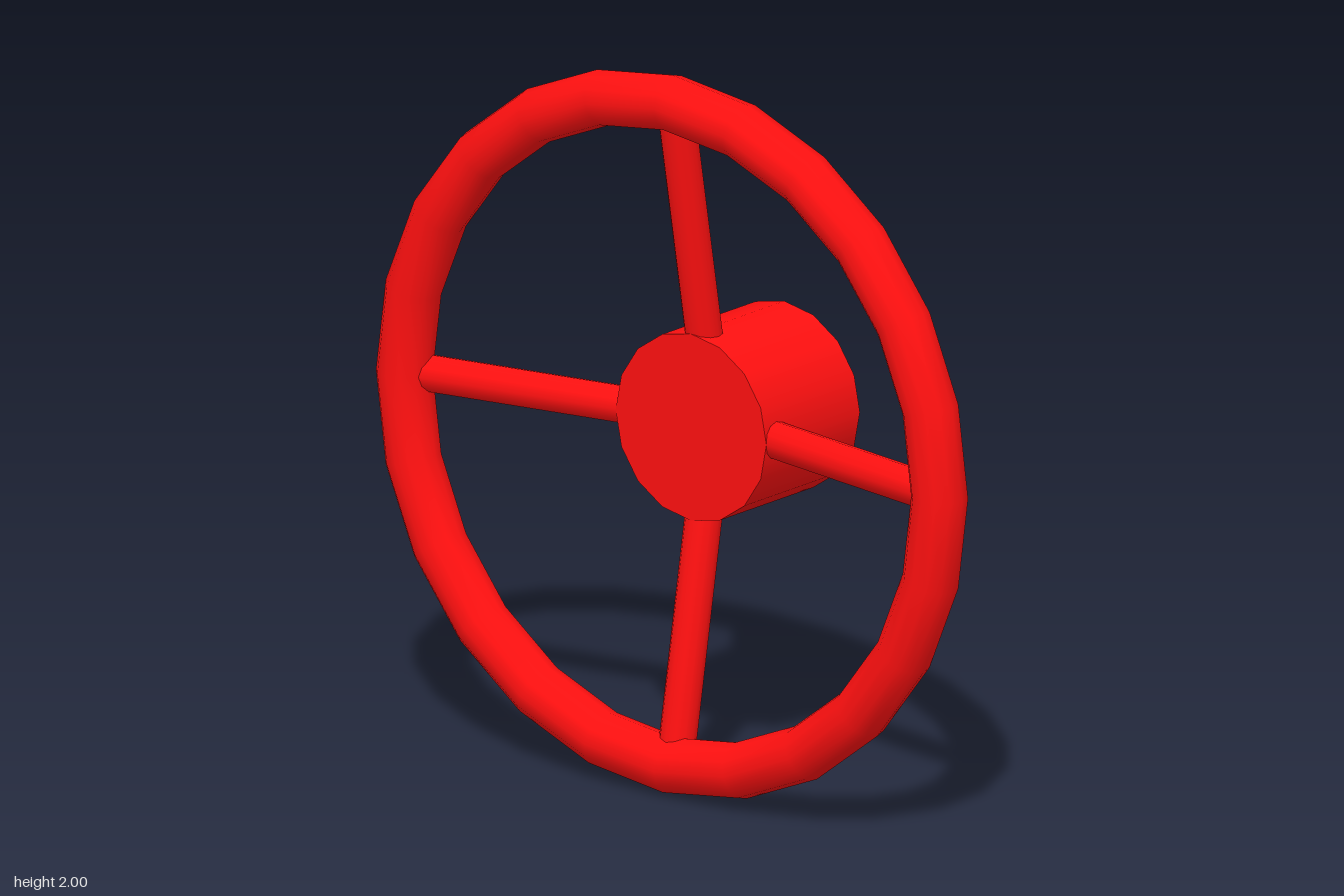
import * as THREE from 'three';

export function createModel() {
  const model = new THREE.Group();
  model.name = 'handwheel';
  const red = new THREE.MeshStandardMaterial({ color: 0xff1010 });
  const centreY = 1;

  const add = (name, geometry) => {
    const mesh = new THREE.Mesh(geometry, red);
    mesh.name = name;
    mesh.position.y = centreY;
    model.add(mesh);
    return mesh;
  };

  // Rim
  add('rim', new THREE.TorusGeometry(0.923, 0.077, 12, 24)).position.z = 0.198;

  // Hub, set back behind the rim
  const hubFront = 0.118, hubBack = -0.275;
  const hub = new THREE.CylinderGeometry(0.26, 0.26, hubFront - hubBack, 16);
  hub.rotateX(Math.PI / 2);
  add('hub', hub).position.z = (hubFront + hubBack) / 2;

  // Four spokes sloping forward from the hub into the rim
  const inner = new THREE.Vector3(0, 0.15, 0.046);
  const outer = new THREE.Vector3(0, 0.91, 0.183);
  const direction = outer.clone().sub(inner);
  const middle = inner.clone().add(outer).multiplyScalar(0.5);
  const spoke = new THREE.CylinderGeometry(0.051, 0.051, direction.length(), 12);
  spoke.rotateX(Math.atan2(direction.z, direction.y));
  spoke.translate(middle.x, middle.y, middle.z);
  ['topSpoke', 'leftSpoke', 'bottomSpoke', 'rightSpoke'].forEach((name, i) => {
    add(name, spoke).rotation.z = -i * Math.PI / 2;
  });

  return model;
}
